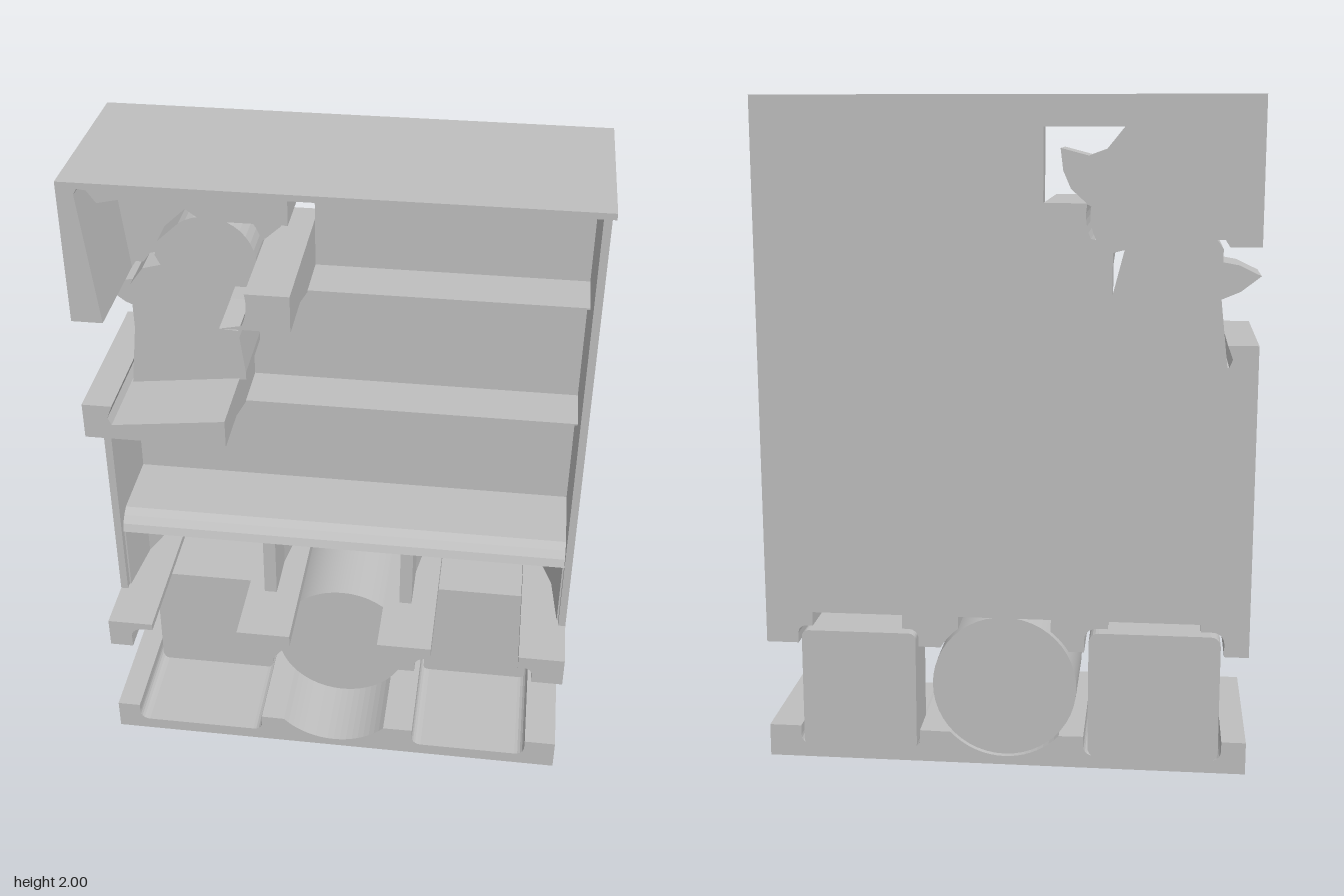
import * as THREE from 'three';

export function createModel() {
  const group = new THREE.Group();
  const gray = new THREE.MeshStandardMaterial({ color: 0xbfbfbf });
  gray.name = 'plain gray';
  const BACK = -0.27, FRONT = 0.27, PANEL = -0.2, RIM = 0.105;

  const add = (name, geo) => {
    const m = new THREE.Mesh(geo, gray);
    m.name = name;
    group.add(m);
    return m;
  };
  const toShape = (pts) => new THREE.Shape(pts.map(([a, b]) => new THREE.Vector2(a, b)));
  // front outline (x, y) extruded along z
  const slab = (name, shape, z0, z1, curveSegments = 10) => {
    const s = Array.isArray(shape) ? toShape(shape) : shape;
    const g = new THREE.ExtrudeGeometry(s, { depth: z1 - z0, bevelEnabled: false, curveSegments });
    return add(name, g.translate(0, 0, z0));
  };
  // side section (z, y) extruded along x
  const rail = (name, pts, x0, x1) => {
    const s = toShape(pts.map(([z, y]) => [-z, y]));
    const g = new THREE.ExtrudeGeometry(s, { depth: x1 - x0, bevelEnabled: false });
    return add(name, g.rotateY(Math.PI / 2).translate(x0, 0, 0));
  };
  const box = (name, x0, x1, y0, y1, z0, z1) =>
    add(name, new THREE.BoxGeometry(x1 - x0, y1 - y0, z1 - z0)
      .translate((x0 + x1) / 2, (y0 + y1) / 2, (z0 + z1) / 2));
  // points on an arc, angles in degrees
  const arc = (cx, cy, r, a0, a1, n = 10) => Array.from({ length: n + 1 }, (_, i) => {
    const a = (a0 + (a1 - a0) * i / n) * Math.PI / 180;
    return [cx + r * Math.cos(a), cy + r * Math.sin(a)];
  });
  const roundRect = (x0, x1, y0, y1, r) => [
    ...arc(x0 + r, y0 + r, r, 180, 270, 5), ...arc(x1 - r, y0 + r, r, 270, 360, 5),
    ...arc(x1 - r, y1 - r, r, 0, 90, 5), ...arc(x0 + r, y1 - r, r, 90, 180, 5)];

  // base with two square pockets and a round one
  const pocket = (x0, x1) => [[x0, 0.1], ...arc(x0 + 0.03, 0.07, 0.03, 180, 270, 5),
    ...arc(x1 - 0.03, 0.07, 0.03, 270, 360, 5), [x1, 0.1]];
  slab('base', [[0.728, 0], [0.728, 0.1],
    ...pocket(0.26, 0.63).reverse(),
    ...arc(0, 0.253, 0.226, -43, -137, 18),
    ...pocket(-0.655, -0.24).reverse(),
    [-0.728, 0.1], [-0.728, 0]], BACK, FRONT);

  // large blocks and the drum
  slab('leftBlock', roundRect(-0.645, -0.253, 0.035, 0.43, 0.03), BACK, -0.03);
  slab('rightBlock', roundRect(0.27, 0.62, 0.035, 0.41, 0.02), BACK, -0.09);
  const drum = add('drum', new THREE.CylinderGeometry(0.218, 0.218, 0.31, 48));
  drum.geometry.rotateX(Math.PI / 2).translate(0, 0.253, -0.115);

  // hooked ledges above the blocks
  slab('ledge', [[-0.728, 0.37], [-0.655, 0.37], ...arc(-0.62, 0.41, 0.035, 180, 90, 5),
    [-0.585, 0.445], [-0.585, 0.468], [-0.728, 0.468]], BACK, FRONT);
  slab('ledge', [[-0.31, 0.468], [-0.31, 0.445], ...arc(-0.275, 0.41, 0.035, 90, 0, 5), [-0.24, 0.37],
    ...arc(0, 0.253, 0.226, 149, 128, 5), [-0.14, 0.468]], BACK, FRONT);
  slab('ledge', [[0.31, 0.468], [0.14, 0.468], ...arc(0, 0.253, 0.226, 52, 31, 5),
    [0.26, 0.37], ...arc(0.29, 0.395, 0.03, 180, 90, 5), [0.31, 0.425]], BACK, FRONT);
  slab('ledge', [[0.728, 0.37], [0.728, 0.468], [0.615, 0.468], [0.585, 0.468], [0.585, 0.425],
    ...arc(0.605, 0.4, 0.025, 90, 0, 5), [0.63, 0.37]], BACK, FRONT);

  // back panels and side walls
  box('lowerBackPanel', -0.728, 0.728, 0.468, 1.19, BACK, PANEL);
  box('middleBackPanel', -0.31, 0.728, 1.19, 1.59, BACK, PANEL);
  box('upperBackPanel', -0.112, 0.728, 1.59, 2, BACK, PANEL);
  box('rightWall', 0.705, 0.728, 0.468, 2, BACK, RIM);
  box('leftWall', -0.728, -0.705, 0.468, 1.19, BACK, RIM);

  // pillars between the lower bays, flared toward the back
  for (const x of [-0.235, 0.21]) {
    const s = toShape([[x - 0.035, -PANEL], [x - 0.02, 0.1], [x - 0.02, -0.06],
      [x + 0.02, -0.06], [x + 0.02, 0.1], [x + 0.035, -PANEL]]);
    const g = new THREE.ExtrudeGeometry(s, { depth: 0.24, bevelEnabled: false });
    add('bayPillar', g.rotateX(-Math.PI / 2).translate(0, 0.465, 0));
  }
  // corner flares of the outer bays
  for (const s of [-1, 1]) {
    const pts = [[s * 0.71, -PANEL], [s * 0.645, -PANEL], [s * 0.68, 0.1], [s * 0.7, -0.08], [s * 0.71, -0.08]];
    const g = new THREE.ExtrudeGeometry(toShape(pts), { depth: 0.24, bevelEnabled: false });
    add('bayCorner', g.rotateX(-Math.PI / 2).translate(0, 0.465, 0));
  }

  // shelves: flat on top, sloping underneath
  rail('lowerShelf', [[PANEL, 0.755], [0.035, 0.755], [0.06, 0.74], [0.08, 0.72], [0.09, 0.695],
    [PANEL, 0.695]], -0.705, 0.705);
  const shelf = (y, xa, xb) => {
    rail('shelf', [[PANEL, y], [-0.04, y], [-0.04, y - 0.005], [PANEL, y - 0.027]], xb, 0.705);
    rail('shelfSoffit', [[PANEL, y + 0.04], [RIM, y + 0.04], [-0.04, y - 0.005], [PANEL, y - 0.027]], xa, xb);
  };
  shelf(1.15, -0.705, -0.31);
  shelf(1.55, -0.31, -0.112);
  rail('roof', [[BACK, 2], [FRONT, 2], [FRONT, 1.982], [RIM, 1.978], [PANEL, 1.928], [BACK, 1.928]], -0.112, 0.728);

  // thick corner shaped around the upper figure
  slab('topCornerBlock', [[-0.728, 1.58], [-0.638, 1.58], [-0.68, 1.965], [-0.67, 1.983], [-0.645, 1.98],
    [-0.62, 1.945], [-0.53, 1.965], [-0.46, 1.97], [-0.4, 1.955], [-0.34, 1.912],
    [-0.112, 1.912], [-0.112, 2], [-0.728, 2]], BACK, FRONT);
  slab('figureLedge', [[-0.728, 1.19], [-0.31, 1.19], [-0.31, 1.278], [-0.645, 1.238], [-0.655, 1.262],
    [-0.64, 1.302], [-0.728, 1.302]], BACK, FRONT);
  slab('headBeam', [[-0.31, 1.588], [-0.112, 1.588], [-0.112, 1.7], [-0.237, 1.7],
    ...arc(-0.385, 1.665, 0.152, 10, -32, 6)], BACK, FRONT);

  // lower figure: round head, flared body, pointed tail
  slab('figureBody', [[-0.64, 1.235], [-0.29, 1.275], [-0.29, 1.3], [-0.305, 1.42], [-0.343, 1.57],
    ...arc(-0.385, 1.665, 0.14, -50, 125, 18), [-0.53, 1.72], [-0.54, 1.675], [-0.525, 1.645],
    [-0.58, 1.63], [-0.62, 1.575], [-0.618, 1.43]], BACK, 0.035);
  slab('figureTail', [[-0.61, 1.54], [-0.665, 1.53], [-0.728, 1.5], [-0.67, 1.455], [-0.61, 1.43]], BACK, -0.07);

  // upper figure: swept back and pointed beak
  slab('upperFigure', [[-0.625, 1.6], [-0.42, 1.6], [-0.24, 1.695], [-0.19, 1.74], [-0.168, 1.79],
    [-0.16, 1.853], [-0.24, 1.832], [-0.29, 1.85], [-0.34, 1.912], [-0.4, 1.955], [-0.46, 1.97],
    [-0.53, 1.965], [-0.62, 1.945], [-0.645, 1.98], [-0.67, 1.983], [-0.68, 1.965], [-0.638, 1.58]], BACK, -0.06);

  return group;
}
